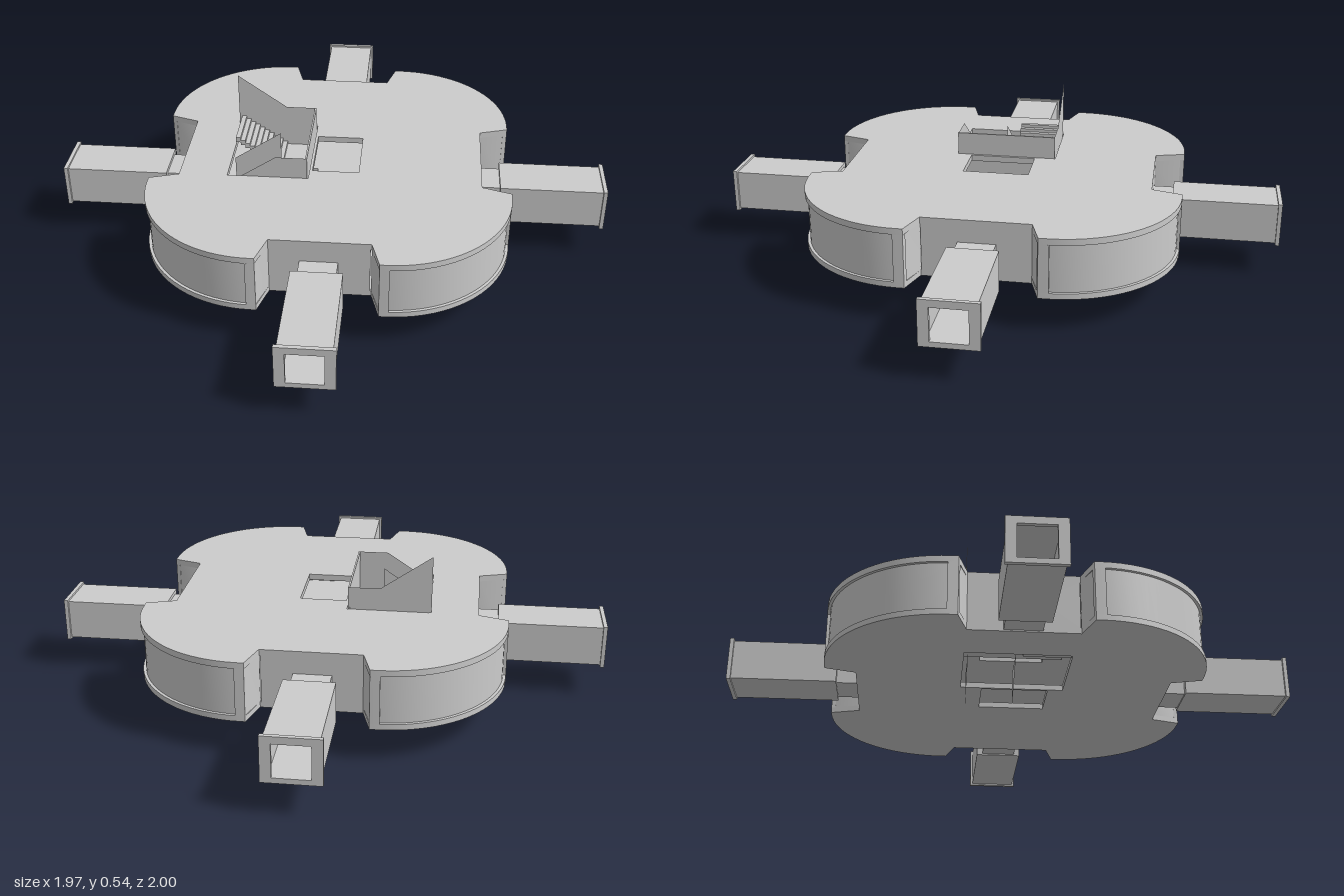
import * as THREE from 'three';
import { toCreasedNormals } from 'three/addons/utils/BufferGeometryUtils.js';

const grey = new THREE.MeshStandardMaterial({ color: 0xcccccc });
const thin = new THREE.MeshStandardMaterial({ color: 0xcccccc, side: THREE.DoubleSide });
const FLOOR = 0.12, FLOOR_TOP = 0.14, CEILING = 0.308, ROOF = 0.33;
const CX = 0.22, CZ = 0.24, R = 0.415;

function add(parent, name, geo, mat = grey) {
  const mesh = new THREE.Mesh(geo, mat);
  mesh.name = name;
  parent.add(mesh);
  return mesh;
}
function box(parent, name, x0, x1, y0, y1, z0, z1) {
  const m = add(parent, name, new THREE.BoxGeometry(x1 - x0, y1 - y0, z1 - z0));
  m.position.set((x0 + x1) / 2, (y0 + y1) / 2, (z0 + z1) / 2);
  return m;
}
const toShape = pts => new THREE.Shape(pts.map(p => new THREE.Vector2(p[0], p[1])));
const rect = (x0, x1, y0, y1) => [[x0, y0], [x1, y0], [x1, y1], [x0, y1]];

// Plan drawn in (x, z), raised from y0 to y1
function raise(pts, y0, y1, holes = []) {
  const shape = toShape(pts);
  shape.holes = holes.map(toShape);
  const geo = new THREE.ExtrudeGeometry(shape, { depth: y1 - y0, bevelEnabled: false });
  geo.rotateX(Math.PI / 2).translate(0, y1, 0);
  return toCreasedNormals(geo, 0.4);
}
// Upright (x, y) profile pushed along z
function push(pts, z0, z1, holes = []) {
  const shape = toShape(pts);
  shape.holes = holes.map(toShape);
  return new THREE.ExtrudeGeometry(shape, { depth: z1 - z0, bevelEnabled: false }).translate(0, 0, z0);
}
// Corner arc from the z side to the x side, between two angles
function arc(r, a0 = Math.PI / 2, a1 = 0, n = 20) {
  return Array.from({ length: n + 1 }, (_, i) => {
    const a = a0 + (a1 - a0) * i / n;
    return [CX + r * Math.cos(a), CZ + r * Math.sin(a)];
  });
}

function createHall() {
  const hall = new THREE.Group();
  hall.name = 'hall';
  const mirrors = [[1, 1], [1, -1], [-1, -1], [-1, 1]];

  // Slabs share the four-lobed plan, with a stair well and a shaft cut through
  const quadrant = [[0.17, 0.55], [0.2, CZ + R], ...arc(R), [CX + R, 0.217], [0.533, 0.185]];
  const plan = mirrors.flatMap(([sx, sz], i) => {
    const q = quadrant.map(([x, z]) => [x * sx, z * sz]);
    return i % 2 ? q.reverse() : q;
  });
  const wells = [rect(-0.362, -0.075, -0.185, 0.178), rect(-0.065, 0.1, -0.11, 0.125)];
  add(hall, 'floorSlab', raise(plan, FLOOR, FLOOR_TOP, wells));
  add(hall, 'roofSlab', raise(plan, CEILING, ROOF, wells));

  // Curved lobe walls set behind the slab edge, with window jambs
  const outer = [[0.17, 0.55], [0.2, CZ + R - 0.01], ...arc(R - 0.01), [CX + R - 0.01, 0.217], [0.533, 0.185]];
  const inner = [[0.17, 0.538], [0.182, 0.538], [0.212, CZ + 0.39], ...arc(0.39), [0.61, 0.222], [0.521, 0.196], [0.521, 0.185]];
  const lobe = [...outer, ...inner.reverse()];
  const jambZ = [[0.2, CZ + R], ...arc(R, Math.PI / 2, 1.54, 2), ...arc(0.4, 1.54, Math.PI / 2, 2), [0.198, CZ + 0.4]];
  const jambX = [[CX + R, 0.217], ...arc(R, 0, 0.03, 2), ...arc(0.4, 0.03, 0, 2), [CX + 0.4, 0.212]];
  for (const [sx, sz] of mirrors) {
    const flip = pts => pts.map(([x, z]) => [x * sx, z * sz]);
    add(hall, 'lobeWall', raise(flip(lobe), FLOOR_TOP, CEILING));
    for (const j of [jambZ, jambX]) add(hall, 'windowJamb', raise(flip(j), FLOOR_TOP, CEILING));
  }
  return hall;
}

// Doorway wall, connector, passage and end flange, built toward +z
function createCorridor(wallZ, halfWall, endZ) {
  const g = new THREE.Group();
  g.name = 'corridor';
  const door = rect(-0.054, 0.054, FLOOR_TOP, 0.237);
  add(g, 'doorWall', push(rect(-halfWall, halfWall, FLOOR_TOP, CEILING), wallZ - 0.012, wallZ, [door]));
  const joint = wallZ + 0.072;
  add(g, 'connector', push(rect(-0.064, 0.064, 0.125, 0.25), wallZ - 0.001, joint, [door]));
  add(g, 'connectorLip', push(rect(-0.058, 0.058, 0.13, 0.245), wallZ, wallZ + 0.008, [door]));
  add(g, 'passageBack', push(rect(-0.086, 0.086, 0.12, 0.263), joint, joint + 0.012, [door]));
  const bore = rect(-0.072, 0.072, 0.132, 0.25);
  add(g, 'passage', push(rect(-0.086, 0.086, 0.12, 0.263), joint + 0.012, endZ - 0.014, [bore]));
  add(g, 'endFlange', push(rect(-0.095, 0.095, 0.114, 0.27), endZ - 0.014, endZ, [rect(-0.06, 0.06, 0.132, 0.245)]));
  return g;
}

function createStairs() {
  const g = new THREE.Group();
  g.name = 'stairs';
  const LAND = 0.25, N = 10, X0 = -0.36, X1 = -0.19;
  // Ribbed flights: the front one climbs to the landing, the rear one climbs on from it
  const flight = (name, yA, yB, z0, z1) => {
    for (let i = 0; i < N; i++) {
      const w = (X1 - X0) / N, y = yA + (yB - yA) * (i + 0.5) / N;
      box(g, name, X0 + i * w, X0 + (i + 1) * w, y - 0.014, y + 0.006, z0, z1);
    }
  };
  flight('lowerStep', 0.13, LAND, 0.012, 0.175);
  flight('upperStep', 0.365, LAND, -0.18, -0.02);
  box(g, 'landing', X1, -0.08, LAND - 0.012, LAND, -0.18, 0.175);
  box(g, 'landingParapet', -0.085, -0.079, LAND - 0.012, 0.41, -0.183, 0.178);

  // Thin side panels following the slopes
  const panel = (name, pts, z) => {
    add(g, name, new THREE.ShapeGeometry(toShape(pts)), thin).position.z = z;
  };
  const rising = [[-0.37, 0.535], [X1, 0.41], [-0.08, 0.41], [-0.08, 0.238], [X1, 0.238], [-0.37, 0.33]];
  const falling = [[-0.36, 0.297], [X1, 0.41], [-0.08, 0.41], [-0.08, 0.238], [X1, 0.238], [-0.36, 0.125]];
  panel('rearParapet', rising, -0.181);
  panel('frontParapet', falling, 0.176);
  panel('innerParapet', falling.slice(0, 2).concat([[X1, 0.238], [-0.36, 0.125]]), 0.011);
  for (const z of [-0.012, -0.172]) {
    panel('descendingParapet', [[-0.37, 0.125], [X1, 0], [X1, 0.125]], z);
  }
  return g;
}

export function createModel() {
  const model = new THREE.Group();
  model.name = 'fourArmedHall';
  model.add(createHall(), createStairs());
  for (let i = 0; i < 4; i++) {
    const side = i % 2;
    const arm = side ? createCorridor(0.533, 0.186, 0.983) : createCorridor(0.55, 0.17, 1);
    arm.rotation.y = i * Math.PI / 2;
    if (side) arm.position.z = -0.003;
    else arm.position.x = -0.004;
    model.add(arm);
  }
  return model;
}
